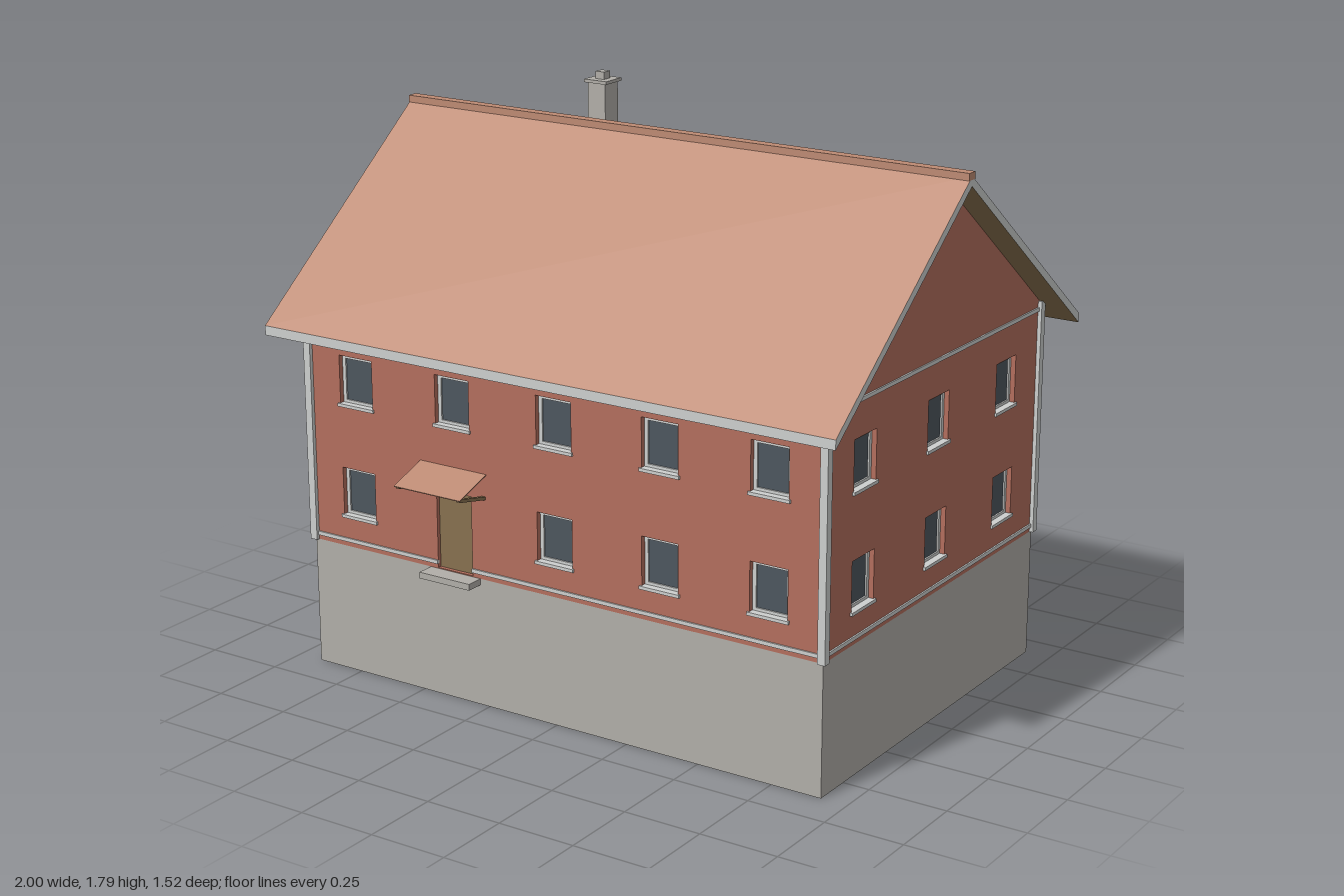
import * as THREE from 'three';

const HX = 0.915, HZ = 0.6425;          // half width and half depth of the house
const BASE = 0.41, EAVE = 1.135;        // top of plinth, top of storey walls
const RIDGE = 1.685, SLOPE = 0.775;     // roof ridge height and pitch
const REVEAL = 0.03;                    // wall thickness seen in the openings
const WIN_W = 0.125, WIN_H = 0.155;
const WIN_ROWS = [0.588, 0.947];

function material(name, color) {
  const m = new THREE.MeshStandardMaterial({ color, side: THREE.DoubleSide });
  m.name = name;
  return m;
}

export function createModel() {
  const red = material('red wall', 0xb36e5d);
  const grey = material('grey concrete', 0xb1aea8);
  const white = material('white trim', 0xcdcfce);
  const tile = material('roof tile', 0xbd8a73);
  const wood = material('brown wood', 0x87704f);
  const glass = material('dark glass', 0x4d565e);

  const model = new THREE.Group();
  model.name = 'house';
  const house = new THREE.Group();
  house.name = 'building';
  house.position.z = -0.0175;
  model.add(house);

  function add(parent, name, geometry, mat, x = 0, y = 0, z = 0) {
    const mesh = new THREE.Mesh(geometry, mat);
    mesh.name = name;
    mesh.position.set(x, y, z);
    parent.add(mesh);
    return mesh;
  }
  const box = (parent, name, mat, w, h, d, x, y, z) =>
    add(parent, name, new THREE.BoxGeometry(w, h, d), mat, x, y, z);

  function rect(Type, x, y, w, h) {
    const p = new Type();
    p.moveTo(x - w / 2, y - h / 2);
    p.lineTo(x + w / 2, y - h / 2);
    p.lineTo(x + w / 2, y + h / 2);
    p.lineTo(x - w / 2, y + h / 2);
    p.closePath();
    return p;
  }
  const extrude = (shape, depth) =>
    new THREE.ExtrudeGeometry(shape, { depth, bevelEnabled: false });

  // Window set back in its opening, with a projecting sill
  const frameShape = rect(THREE.Shape, 0, 0, WIN_W, WIN_H);
  frameShape.holes.push(rect(THREE.Path, 0, 0, WIN_W - 0.024, WIN_H - 0.024));
  const frameGeo = extrude(frameShape, 0.01);
  const glassGeo = new THREE.BoxGeometry(WIN_W - 0.02, WIN_H - 0.02, 0.004);
  function addWindow(wall, x, y) {
    const win = new THREE.Group();
    win.name = 'window';
    win.position.set(x, y, 0);
    add(win, 'windowFrame', frameGeo, white, 0, 0, -0.026);
    add(win, 'windowGlass', glassGeo, glass, 0, 0, -0.023);
    box(win, 'windowSill', white, WIN_W + 0.012, 0.01, 0.03, 0, -WIN_H / 2 - 0.002, -0.008);
    wall.add(win);
  }

  // One wall with openings; its outer face is local z = 0
  function addWall(name, half, dist, angle, columns, gable, door) {
    const wall = new THREE.Group();
    wall.name = name;
    wall.rotation.y = angle;
    wall.position.set(Math.sin(angle) * dist, 0, Math.cos(angle) * dist);
    house.add(wall);

    const top = RIDGE - 0.03 - SLOPE * HZ;
    const shape = new THREE.Shape();
    shape.moveTo(-half, BASE);
    shape.lineTo(half, BASE);
    shape.lineTo(half, top);
    if (gable) shape.lineTo(0, RIDGE - 0.03);
    shape.lineTo(-half, top);
    shape.closePath();

    for (const x of columns) for (const y of WIN_ROWS) {
      if (door && x === door && y === WIN_ROWS[0]) continue;
      shape.holes.push(rect(THREE.Path, x, y, WIN_W, WIN_H));
      addWindow(wall, x, y);
    }
    if (door) {
      shape.holes.push(rect(THREE.Path, door, 0.539, 0.13, 0.252));
      box(wall, 'door', wood, 0.13, 0.252, 0.015, door, 0.539, -0.02);
    }
    add(wall, 'wallPanel', extrude(shape, REVEAL), red, 0, 0, -REVEAL);

    // Horizontal trim, broken at the door
    box(wall, 'upperTrim', white, half * 2, 0.012, 0.01, 0, EAVE, 0);
    const spans = door
      ? [[-half, door - 0.065], [door + 0.065, half]]
      : [[-half, half]];
    for (const [a, b] of spans)
      box(wall, 'lowerTrim', white, b - a, 0.012, 0.01, (a + b) / 2, 0.431, 0);
  }

  // Plinth, open at top and bottom
  const plinth = new THREE.BoxGeometry(HX * 2, BASE, HZ * 2);
  const idx = Array.from(plinth.index.array);
  plinth.clearGroups();
  plinth.setIndex([...idx.slice(0, 12), ...idx.slice(24)]);
  add(house, 'plinth', plinth, grey, 0, BASE / 2, 0);

  const DOOR_X = -0.37;
  const longCols = [-0.735, DOOR_X, 0, 0.37, 0.735];
  const sideCols = [-0.4275, 0, 0.4275];
  addWall('frontWall', HX, HZ, 0, longCols, false, DOOR_X);
  addWall('backWall', HX, HZ, Math.PI, longCols, false);
  addWall('leftWall', HZ, HX, Math.PI / 2, sideCols, true);
  addWall('rightWall', HZ, HX, -Math.PI / 2, sideCols, true);

  // Corner boards
  for (const sx of [-1, 1]) for (const sz of [-1, 1])
    box(house, 'cornerBoard', white, 0.025, 0.75, 0.025, sx * HX, BASE + 0.375, sz * HZ);

  // Roof slopes: sheared slabs with tiles above, boards below, pale edges
  const run = 0.7425;
  const slab = new THREE.BoxGeometry(2, 0.03, run);
  slab.translate(0, RIDGE - 0.015, run / 2);
  const pos = slab.attributes.position;
  for (let i = 0; i < pos.count; i++) pos.setY(i, pos.getY(i) - SLOPE * pos.getZ(i));
  slab.computeVertexNormals();
  const slabMats = [white, white, tile, wood, white, white];
  add(house, 'frontRoof', slab, slabMats);
  add(house, 'backRoof', slab, slabMats).rotation.y = Math.PI;
  box(house, 'ridgeCap', tile, 2, 0.022, 0.036, 0, 1.685, 0);

  // Chimney
  const chimney = new THREE.Group();
  chimney.name = 'chimney';
  chimney.position.set(-0.443, 0, -0.277);
  model.add(chimney);
  box(chimney, 'chimneyStack', grey, 0.066, 0.36, 0.07, 0, 1.575, 0);
  box(chimney, 'chimneyCap', grey, 0.084, 0.01, 0.084, 0, 1.76, 0);
  box(chimney, 'chimneyPot', grey, 0.032, 0.025, 0.032, 0, 1.776, 0);

  // Door step
  box(model, 'doorStep', grey, 0.187, 0.02, 0.06, DOOR_X, 0.4, 0.652);

  // Canopy: thin sloping sheet on two struts
  const canopy = new THREE.Group();
  canopy.name = 'canopy';
  canopy.position.set(DOOR_X, 0, 0.625);
  model.add(canopy);
  const drop = 0.045, reach = 0.13;
  const sheet = add(canopy, 'canopySheet',
    new THREE.BoxGeometry(0.246, 0.003, Math.hypot(drop, reach)), tile, 0, 0.722, reach / 2);
  sheet.rotation.x = Math.atan2(drop, reach);
  for (const sx of [-1, 1]) {
    const strut = box(canopy, 'canopyStrut', wood, 0.012, 0.01, 0.128, sx * 0.113, 0.684, 0.062);
    strut.rotation.x = -0.22;
  }
  return model;
}
